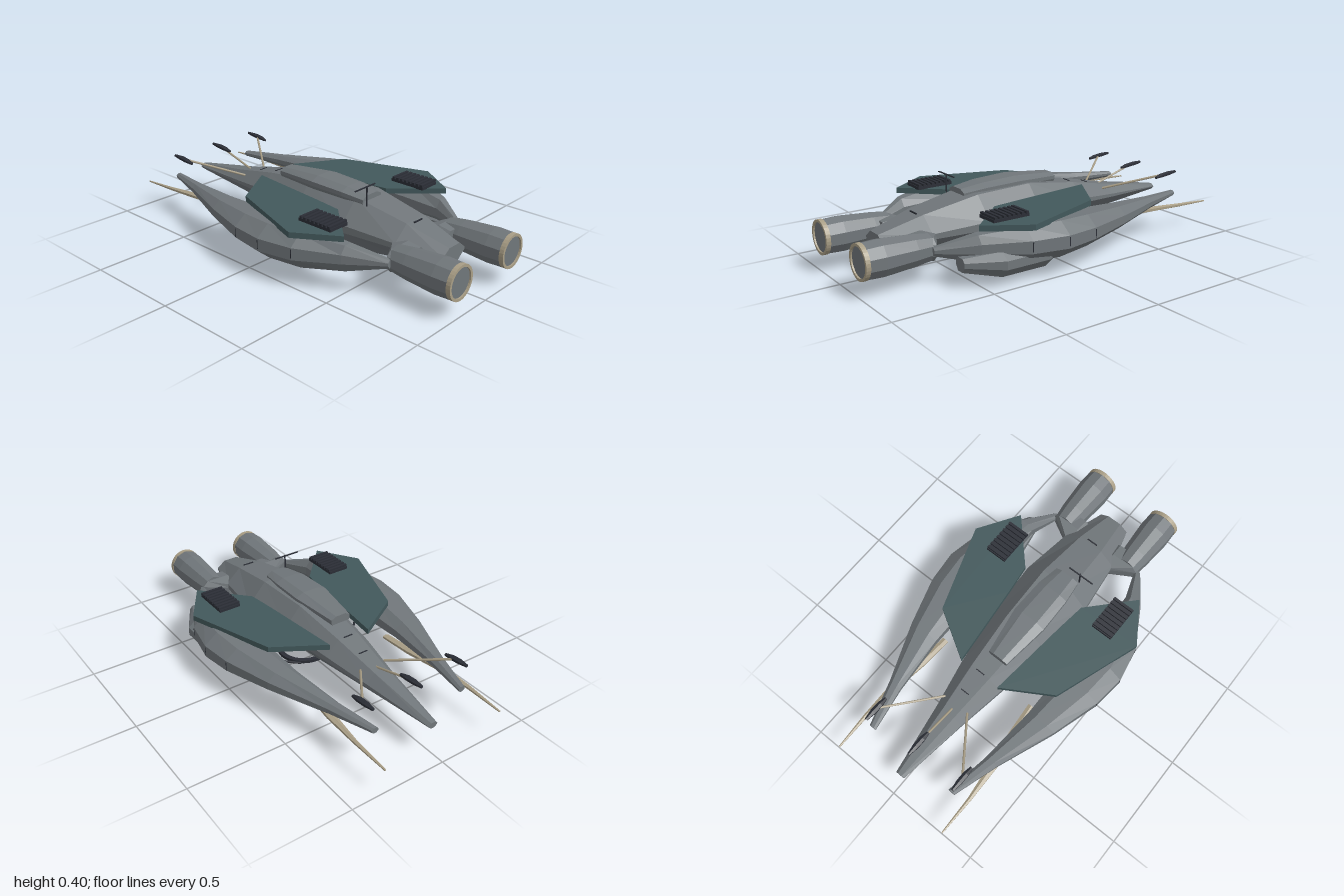
import * as THREE from 'three';

const mat = (name, color) => new THREE.MeshStandardMaterial({ name, color });

export function createModel() {
  const hullGrey = mat('hullGrey', 0x70767a);
  const teal = mat('wingTeal', 0x42585b);
  const dark = mat('darkMetal', 0x2b2e36);
  const tan = mat('tanTrim', 0xa99e86);
  const root = new THREE.Group();
  root.name = 'spacecraft';

  const add = (name, geo, material, parent = root) => {
    const mesh = new THREE.Mesh(geo, material);
    mesh.name = name;
    parent.add(mesh);
    return mesh;
  };

  // Faceted loft; section = [z, xMin, xMax, yMin, yMax], z rising, profile counter-clockwise in -1..1
  const loft = (sections, profile) => {
    const rings = sections.map(([z, x0, x1, y0, y1]) => profile.map(([u, v]) =>
      [(x0 + x1) / 2 + u * (x1 - x0) / 2, (y0 + y1) / 2 + v * (y1 - y0) / 2, z]));
    const pos = [], n = profile.length, last = rings[rings.length - 1];
    const tri = (a, b, c) => pos.push(...a, ...b, ...c);
    for (let i = 0; i < rings.length - 1; i++) {
      for (let j = 0; j < n; j++) {
        const k = (j + 1) % n, a = rings[i], b = rings[i + 1];
        tri(a[j], a[k], b[k]);
        tri(a[j], b[k], b[j]);
      }
    }
    for (let j = 1; j < n - 1; j++) {
      tri(rings[0][0], rings[0][j + 1], rings[0][j]);
      tri(last[0], last[j], last[j + 1]);
    }
    const geo = new THREE.BufferGeometry();
    geo.setAttribute('position', new THREE.Float32BufferAttribute(pos, 3));
    geo.computeVertexNormals();
    return geo;
  };
  const mirrorX = (s, side) => s.map(([z, a, b, c, d]) => side > 0 ? [z, a, b, c, d] : [z, -b, -a, c, d]);
  // Eight-sided outline: top width, upper and lower shoulder, bottom width
  const octagon = (t, hi, lo, b) =>
    [[1, lo], [1, hi], [t, 1], [-t, 1], [-1, hi], [-1, lo], [-b, -1], [b, -1]];
  const polygon = n => Array.from({ length: n }, (_, i) => {
    const a = (i + 0.5) / n * Math.PI * 2;
    return [Math.cos(a), Math.sin(a)];
  });

  const rod = (name, a, b, r, material, sides = 6) => {
    const p = new THREE.Vector3(...a), q = new THREE.Vector3(...b), d = q.clone().sub(p);
    const mesh = add(name, new THREE.CylinderGeometry(r, r, d.length(), sides), material);
    mesh.position.copy(p).add(q).multiplyScalar(0.5);
    mesh.quaternion.setFromUnitVectors(new THREE.Vector3(0, 1, 0), d.normalize());
    return mesh;
  };
  const box = (name, size, at, material) => {
    const mesh = add(name, new THREE.BoxGeometry(...size), material);
    mesh.position.set(...at);
    return mesh;
  };

  // Central hull and offset canopy
  add('hull', loft([
    [-0.92, -0.025, 0.025, 0.14, 0.17],
    [-0.55, -0.08, 0.08, 0.115, 0.232],
    [-0.3, -0.125, 0.125, 0.1, 0.285],
    [0, -0.165, 0.165, 0.075, 0.33],
    [0.31, -0.187, 0.187, 0.05, 0.325],
    [0.6, -0.15, 0.15, 0.09, 0.272],
    [0.82, -0.085, 0.085, 0.125, 0.21],
  ], octagon(0.45, 0.2, -0.08, 0.42)), hullGrey);
  add('canopy', loft([
    [-0.2, -0.085, 0.025, 0.3, 0.343],
    [0.05, -0.117, 0.063, 0.305, 0.365],
    [0.24, -0.112, 0.058, 0.305, 0.358],
    [0.36, -0.095, 0.04, 0.295, 0.343],
  ], octagon(0.5, 0.35, -0.4, 0.9)), hullGrey);

  for (const side of [1, -1]) {
    // Curved side nacelle
    add('sideNacelle', loft(mirrorX([
      [-0.83, 0.235, 0.272, 0.172, 0.2],
      [-0.6, 0.275, 0.345, 0.155, 0.215],
      [-0.3, 0.3, 0.46, 0.125, 0.24],
      [-0.05, 0.3, 0.535, 0.1, 0.258],
      [0.12, 0.3, 0.553, 0.085, 0.263],
      [0.3, 0.305, 0.518, 0.088, 0.26],
      [0.5, 0.31, 0.405, 0.11, 0.238],
      [0.67, 0.25, 0.285, 0.145, 0.185],
    ], side), octagon(0.45, 0.4, -0.3, 0.4)), hullGrey);

    // Engine with trim ring and exhaust disc, joined by a pylon
    const ex = side * 0.205, ey = 0.167;
    const round = (z, r) => [z, ex - r, ex + r, ey - r, ey + r];
    add('engine', loft([round(0.655, 0.065), round(0.74, 0.076), round(0.9, 0.088), round(0.98, 0.085)],
      polygon(10)), hullGrey);
    const ringShape = new THREE.Shape().absarc(0, 0, 0.085, 0, Math.PI * 2);
    ringShape.holes.push(new THREE.Path().absarc(0, 0, 0.072, 0, Math.PI * 2, true));
    add('exhaustRing', new THREE.ExtrudeGeometry(ringShape, { depth: 0.022, bevelEnabled: false, curveSegments: 16 }),
      tan).position.set(ex, ey, 0.978);
    const disc = add('exhaustDisc', new THREE.CylinderGeometry(0.073, 0.073, 0.014, 24), hullGrey);
    disc.rotation.x = Math.PI / 2;
    disc.position.set(ex, ey, 0.985);
    add('enginePylon', loft(mirrorX([
      [0.58, 0.1, 0.15, 0.13, 0.2],
      [0.65, 0.09, 0.27, 0.11, 0.22],
      [0.72, 0.09, 0.25, 0.125, 0.21],
    ], side), octagon(0.7, 0.5, -0.5, 0.7)), hullGrey);

    // Upper wing plate
    const outline = [[0.115, -0.31], [0.365, -0.16], [0.52, 0.29], [0.385, 0.5], [0.18, 0.28], [0.16, 0.12]];
    const wing = new THREE.Shape(outline.map(([x, z]) => new THREE.Vector2(side * x, -z)));
    const wingGeo = new THREE.ExtrudeGeometry(wing, { depth: 0.028, bevelEnabled: false });
    wingGeo.rotateX(-Math.PI / 2);
    add('wingPlate', wingGeo, teal).position.y = 0.257;

    // Louvred vent
    box('ventBase', [0.115, 0.016, 0.195], [side * 0.34, 0.291, 0.332], dark);
    for (let i = 0; i < 8; i++)
      box('ventSlat', [0.118, 0.012, 0.014], [side * 0.34, 0.304, 0.247 + i * 0.0245], dark);

    // Tail spike
    add('tailSpike', loft(mirrorX([
      [-1, 0.329, 0.338, 0.126, 0.134],
      [-0.8, 0.324, 0.346, 0.131, 0.15],
      [-0.6, 0.3, 0.346, 0.136, 0.162],
      [-0.42, 0.275, 0.32, 0.133, 0.16],
      [-0.25, 0.262, 0.3, 0.14, 0.16],
    ], side), polygon(6)), tan);

    // Slanted bar below
    rod('lowerBar', [side * 0.15, 0.083, -0.12], [side * 0.38, 0.083, 0.11], 0.006, dark);
    rod('lowerBarStrut', [side * 0.3, 0.083, 0.03], [side * 0.36, 0.125, 0.03], 0.005, dark);

    // Nacelle seams
    for (const [z, x, y] of [[-0.05, 0.533, 0.18], [0.12, 0.551, 0.18], [0.3, 0.516, 0.18]])
      box('nacelleSeam', [0.006, 0.045, 0.004], [side * x, y, z], dark);
  }

  // Sensor pods on struts behind the hull
  for (const s of [-1, 0, 1]) {
    rod('sensorStrut', [s * 0.07, 0.225, -0.49], [s * 0.265, 0.302, -0.75], 0.006, tan);
    add('sensorPod', loft([
      [-0.83, s * 0.27 - 0.008, s * 0.27 + 0.008, 0.301, 0.315],
      [-0.78, s * 0.27 - 0.016, s * 0.27 + 0.016, 0.294, 0.317],
      [-0.73, s * 0.27 - 0.016, s * 0.27 + 0.016, 0.289, 0.312],
      [-0.69, s * 0.27 - 0.008, s * 0.27 + 0.008, 0.287, 0.3],
    ], polygon(6)), dark);
  }

  // Pod under the left nacelle
  add('cargoPod', loft([
    [0.06, 0.36, 0.43, 0.09, 0.15],
    [0.18, 0.3, 0.49, 0.045, 0.165],
    [0.42, 0.3, 0.49, 0.045, 0.165],
    [0.585, 0.325, 0.395, 0.08, 0.145],
  ], octagon(0.55, 0.45, -0.25, 0.55)), hullGrey);

  // Roof aerial
  rod('aerialMast', [-0.09, 0.29, 0.38], [-0.09, 0.398, 0.38], 0.004, dark);
  box('aerialBar', [0.145, 0.005, 0.006], [-0.097, 0.397, 0.375], dark);

  // Flat ring below the hull
  const ring = new THREE.Shape().absarc(0, 0, 0.137, 0, Math.PI * 2);
  ring.holes.push(new THREE.Path().absarc(0, 0, 0.112, 0, Math.PI * 2, true));
  const ringGeo = new THREE.ExtrudeGeometry(ring, { depth: 0.015, bevelEnabled: false, curveSegments: 16 });
  ringGeo.rotateX(-Math.PI / 2);
  add('lowerRing', ringGeo, dark).position.z = 0.08;

  // Hull seams
  box('rearSeam', [0.06, 0.006, 0.006], [0, 0.27, 0.615], dark);
  for (const z of [-0.3, -0.42])
    box('noseSeam', [0.05, 0.006, 0.005], [0, 0.285 + (z + 0.3) * 0.212, z], dark);
  return root;
}
